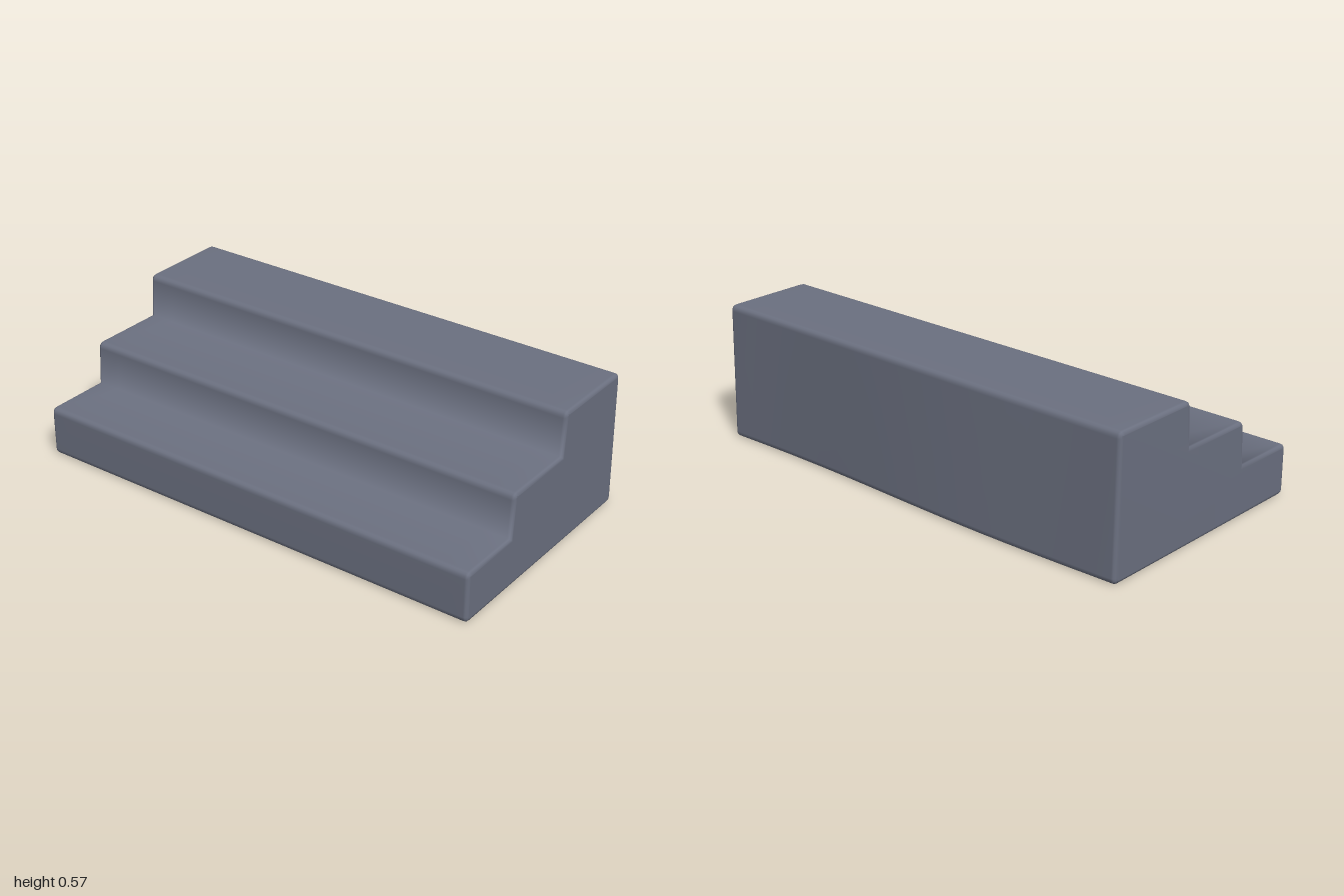
import * as THREE from 'three';
import { mergeVertices } from 'three/addons/utils/BufferGeometryUtils.js';

// Closed outline through corners [z, y, radius]; corners with a radius are rounded
function roundedOutline(corners) {
  const shape = new THREE.Shape();
  const n = corners.length;
  corners.forEach(([z, y, r], i) => {
    const c = new THREE.Vector2(z, y);
    const toward = (j) => {
      const q = new THREE.Vector2(corners[j][0], corners[j][1]);
      return q.sub(c).setLength(r).add(c);
    };
    const a = r ? toward((i + n - 1) % n) : c;
    const b = r ? toward((i + 1) % n) : c;
    if (i === 0) shape.moveTo(a.x, a.y);
    else shape.lineTo(a.x, a.y);
    if (r) shape.quadraticCurveTo(c.x, c.y, b.x, b.y);
  });
  return shape;
}

export function createModel() {
  const model = new THREE.Group();
  model.name = 'staircase';
  const stone = new THREE.MeshStandardMaterial({ color: 0x6b7080 });
  stone.name = 'slate grey';

  // Side outline: base, three treads with leaning risers, sloping back
  const R = 0.025, bevel = 0.015, width = 2;
  const outline = roundedOutline([
    [-0.515, 0, R], [0.525, 0, R], [0.525, 0.21, R],
    [0.246, 0.21, 0], [0.235, 0.39, R],
    [-0.093, 0.39, 0], [-0.103, 0.57, R], [-0.5, 0.57, R],
  ]);
  const depth = width - 2 * bevel;
  let geo = new THREE.ExtrudeGeometry(outline, {
    depth, steps: 20, curveSegments: 4,
    bevelEnabled: true, bevelThickness: bevel, bevelSize: bevel, bevelOffset: -bevel, bevelSegments: 3,
  });
  geo.translate(0, 0, -depth / 2);
  geo.rotateY(-Math.PI / 2);

  // Gentle wave along the foot of the back wall
  const p = geo.attributes.position;
  for (let i = 0; i < p.count; i++) {
    const x = p.getX(i), y = p.getY(i), z = p.getZ(i);
    if (z < -0.4) {
      const wave = 0.011 * Math.cos(Math.PI * (x + 0.4));
      p.setZ(i, z - wave * Math.max(0, 1 - y / 0.57));
    }
  }

  // Weld the surface so shading flows softly over the worn edges
  geo.deleteAttribute('normal');
  geo.deleteAttribute('uv');
  geo = mergeVertices(geo, 1e-4);
  geo.computeVertexNormals();

  const steps = new THREE.Mesh(geo, stone);
  steps.name = 'steps';
  model.add(steps);
  return model;
}
